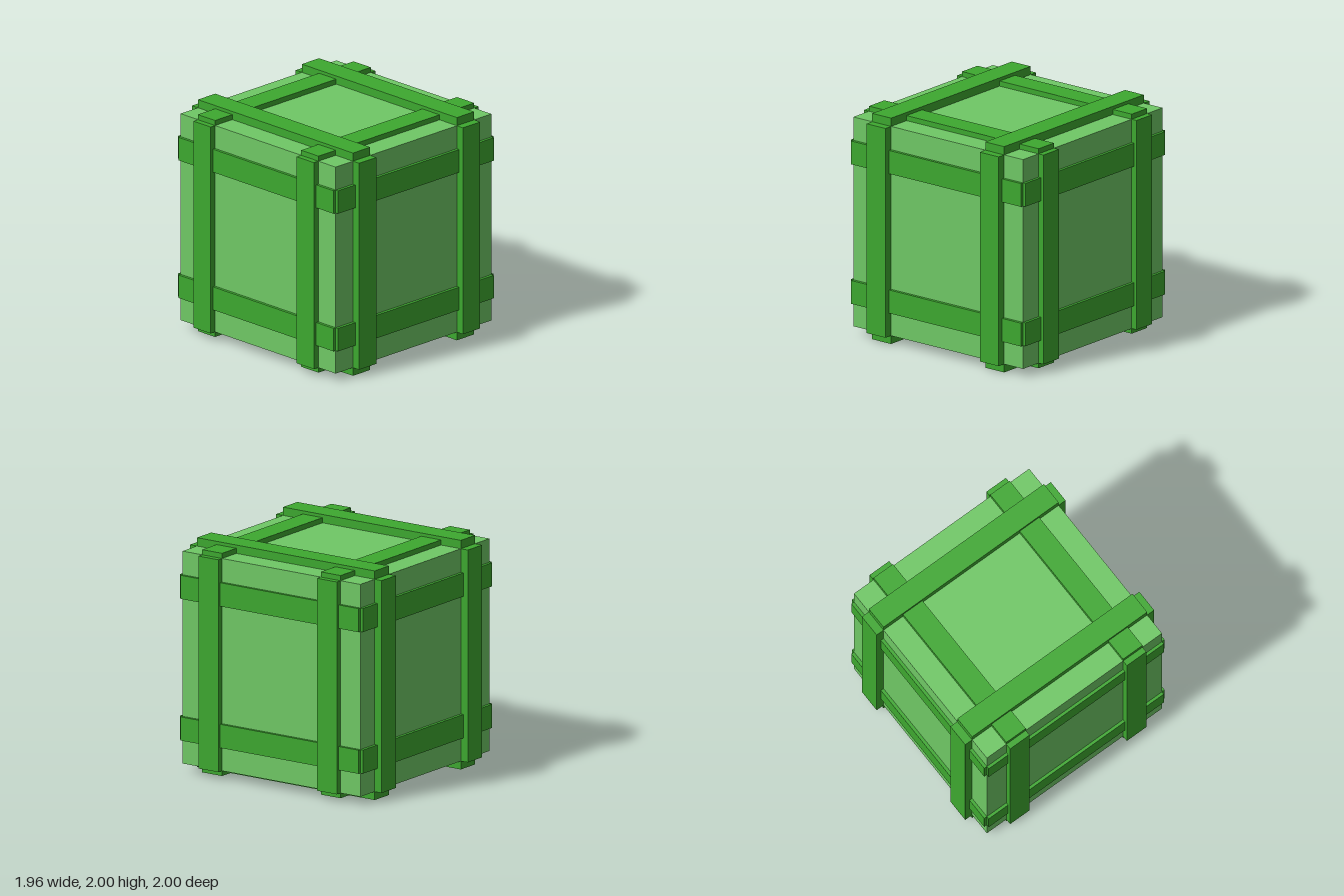
import * as THREE from 'three';

const CORE = 0.927;    // half size of the box body
const OFFSET = 0.618;  // distance of each plank from the face centre
const WIDTH = 0.206;   // plank width

export function createModel() {
  const crate = new THREE.Group();
  crate.name = 'crate';
  const panelMat = new THREE.MeshStandardMaterial({ color: 0x6fc865 });
  const plankMat = new THREE.MeshStandardMaterial({ color: 0x3da82f });

  // Solid body
  const body = new THREE.Mesh(new THREE.BoxGeometry(2 * CORE, 2 * CORE, 2 * CORE), panelMat);
  body.name = 'crateBody';
  body.position.y = 1;
  crate.add(body);

  // Two parallel planks on each of two opposite faces:
  // normal = face axis, along = plank direction, reach = outer surface
  function addPlanks(name, normal, along, reach) {
    const across = ['x', 'y', 'z'].find((a) => a !== normal && a !== along);
    const size = { [normal]: reach - CORE, [along]: 2 * CORE, [across]: WIDTH };
    const geometry = new THREE.BoxGeometry(size.x, size.y, size.z);
    for (const face of [-1, 1]) {
      for (const side of [-1, 1]) {
        const plank = new THREE.Mesh(geometry, plankMat);
        plank.name = name;
        plank.position[normal] = face * (reach + CORE) / 2;
        plank.position[across] = side * OFFSET;
        plank.position.y += 1;
        crate.add(plank);
      }
    }
  }

  // Front and back
  addPlanks('frontBackUpright', 'z', 'y', 1);
  addPlanks('frontBackRail', 'z', 'x', 0.955);
  // Left and right
  addPlanks('sideUpright', 'x', 'y', 0.98);
  addPlanks('sideRail', 'x', 'z', 0.953);
  // Top and bottom
  addPlanks('topBottomRunner', 'y', 'z', 1);
  addPlanks('topBottomCrossbar', 'y', 'x', 0.972);

  return crate;
}
